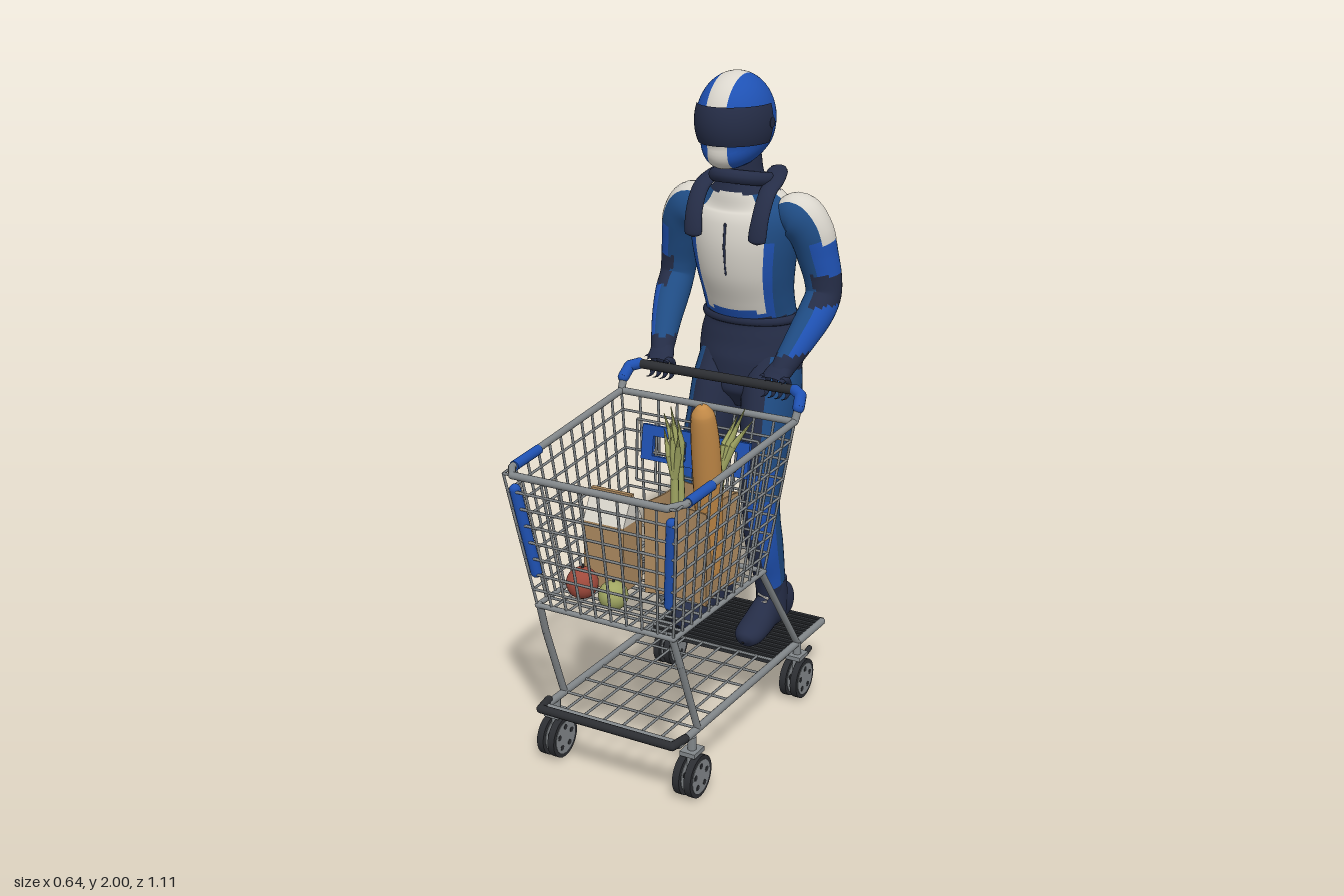
import * as THREE from 'three';
import { mergeGeometries } from 'three/addons/utils/BufferGeometryUtils.js';

const V = (x, y, z) => new THREE.Vector3(x, y, z);
const X = V(1, 0, 0), Y = V(0, 1, 0), Z = V(0, 0, 1);

export function createModel() {
  const root = new THREE.Group();
  const mat = (name, color) => Object.assign(new THREE.MeshStandardMaterial({ color }), { name });
  const bright = mat('bright blue', 0x1f52b4), steel = mat('steel blue', 0x1f4c84), navy = mat('navy', 0x252d47);
  const white = mat('off white', 0xdad6cd), metal = mat('metal grey', 0x82878a), rubber = mat('dark rubber', 0x2c2e32);
  const paper = mat('paper brown', 0xac895f), crust = mat('bread crust', 0xc48b48);
  const red = mat('apple red', 0xa04a3c), green = mat('leaf green', 0xa0a662);

  const add = (name, geo, m) => {
    const mesh = new THREE.Mesh(geo, m);
    mesh.name = name;
    root.add(mesh);
    return mesh;
  };
  const box = (w, h, d, x, y, z) => new THREE.BoxGeometry(w, h, d).translate(x, y, z);
  const ball = (r, x, y, z, n = 10) => new THREE.SphereGeometry(r, n * 2, n).translate(x, y, z);
  const disc = (r, w, x, y, z, n = 24) => new THREE.CylinderGeometry(r, r, w, n).rotateZ(Math.PI / 2).translate(x, y, z);
  const rod = (a, b, r, r2 = r, n = 8) => {
    const d = b.clone().sub(a);
    const q = new THREE.Quaternion().setFromUnitVectors(Y, d.clone().normalize());
    const m = a.clone().add(b).multiplyScalar(0.5);
    return new THREE.CylinderGeometry(r2, r, d.length(), n).applyQuaternion(q).translate(m.x, m.y, m.z);
  };
  // bent tube: straight rods with round joints
  const pipe = (pts, r) => mergeGeometries(pts.flatMap((p, i) =>
    [ball(r, p.x, p.y, p.z, 6), ...(i ? [rod(pts[i - 1], p, r, r, 12)] : [])]));

  // wrapped surface f(i, j); pick(centre, direction) chooses each face's material
  function skin(name, nu, nv, f, pick) {
    const pos = [], pts = [], buckets = new Map();
    for (let i = 0; i <= nu; i++) for (let j = 0; j < nv; j++) {
      const p = f(i / nu, j / nv * Math.PI * 2);
      pts.push(p);
      pos.push(...p.p.toArray());
    }
    for (let i = 0; i < nu; i++) for (let j = 0; j < nv; j++) {
      const a = i * nv + j, d = i * nv + (j + 1) % nv, b = a + nv, c = d + nv;
      const mid = pts[a].p.clone().add(pts[c].p).multiplyScalar(0.5);
      const m = pick(mid, pts[a].n.clone().add(pts[d].n).multiplyScalar(0.5));
      if (!buckets.has(m)) buckets.set(m, []);
      buckets.get(m).push(a, d, b, d, c, b);
    }
    const geo = new THREE.BufferGeometry(), index = [], mats = [...buckets.keys()];
    mats.forEach((m, k) => {
      geo.addGroup(index.length, buckets.get(m).length, k);
      for (const v of buckets.get(m)) index.push(v);
    });
    geo.setAttribute('position', new THREE.Float32BufferAttribute(pos, 3));
    geo.setIndex(index);
    geo.computeVertexNormals();
    return add(name, geo, mats);
  }
  // smooth loft through oval rings [x, y, z, r1, r2]
  function loft(name, rings, pick, { ref = X, s = 1, seg = 32, sub = 6, floor = 0 } = {}) {
    const path = new THREE.CatmullRomCurve3(rings.map(r => V(r[0] * s, r[1], r[2])));
    const rad = new THREE.CatmullRomCurve3(rings.map(r => V(r[3], r[4] ?? r[3], 0)), false, 'catmullrom', 0.5);
    return skin(name, (rings.length - 1) * sub, seg, (t, a) => {
      const dir = path.getTangent(t), c = path.getPoint(t), r = rad.getPoint(t);
      const u = ref.clone().addScaledVector(dir, -ref.dot(dir)).normalize(), v = dir.clone().cross(u);
      const n = u.clone().multiplyScalar(Math.cos(a)).addScaledVector(v, Math.sin(a));
      const p = c.addScaledVector(u, Math.cos(a) * r.x).addScaledVector(v, Math.sin(a) * r.y);
      p.y = Math.max(p.y, floor);
      return { p, n };
    }, pick);
  }

  // ---- rider: torso and hips ----
  loft('torso', [[0, .93, -.385, .04, .05], [0, .97, -.4, .11, .11], [0, 1.03, -.415, .155, .122], [0, 1.1, -.425, .172, .128],
    [0, 1.17, -.425, .168, .115], [0, 1.24, -.42, .15, .105], [0, 1.32, -.395, .15, .113], [0, 1.4, -.378, .16, .13],
    [0, 1.48, -.37, .172, .135], [0, 1.55, -.365, .175, .125], [0, 1.6, -.36, .155, .105], [0, 1.64, -.35, .105, .085],
    [0, 1.68, -.345, .07, .07], [0, 1.75, -.335, .062, .065]], (p, n) => {
    const ax = Math.abs(n.x);
    if (p.y < 1.25 || p.y > 1.64) return navy;
    if (n.z > 0) return ax < .68 && p.y > 1.27 ? white : ax < .82 && p.y < 1.5 ? bright : steel;
    return p.y > 1.5 ? white : ax > .42 && ax < .53 ? bright : steel;
  }, { seg: 60 });
  add('waistBelt', new THREE.TorusGeometry(1, .08, 8, 40).rotateX(Math.PI / 2).scale(.15, .18, .107).translate(0, 1.235, -.42), navy);
  add('zip', pipe([V(0, 1.26, -.304), V(0, 1.32, -.281), V(0, 1.4, -.247), V(0, 1.48, -.234), V(0, 1.55, -.24)], .004), navy);

  // ---- rider: helmet, visor, collar ----
  skin('helmet', 32, 64, (t, v) => {
    const th = (t - .5) * Math.PI, r = Math.cos(th), n = V(Math.sin(th), -r * Math.sin(v), r * Math.cos(v));
    const p = V(.114 * n.x, 1.858 + .142 * n.y, -.305 + .14 * n.z);
    p.z += Math.max(0, 1.79 - p.y) * (n.z > 0 ? .75 : .45);
    p.y = Math.max(p.y, 1.722);
    return { p, n };
  }, p => Math.abs(p.x) < .033 ? white : bright);
  add('visor', new THREE.SphereGeometry(1, 40, 10, Math.PI / 2 - 1.65, 3.3, 1.2, .82).scale(.118, .145, .146).translate(0, 1.858, -.305), navy);
  add('neckCollar', new THREE.TorusGeometry(.082, .022, 10, 32).rotateX(Math.PI / 2 - .2).translate(0, 1.675, -.35), navy);

  for (const s of [1, -1]) {
    const side = s > 0 ? 'left' : 'right';
    add(side + 'VisorPivot', disc(.016, .008, s * .115, 1.855, -.31, 16), navy);
    loft(side + 'ShoulderYoke', [[.108, 1.5, -.238, .004, .002], [.108, 1.51, -.238, .028, .013], [.112, 1.58, -.252, .028, .013],
      [.112, 1.645, -.295, .028, .013], [.105, 1.672, -.36, .03, .014], [.075, 1.69, -.43, .03, .014], [.05, 1.695, -.45, .004, .002]],
    () => navy, { s, seg: 16 });

    // ---- rider: arms and gloves ----
    loft(side + 'Arm', [[.12, 1.565, -.37, .045], [.175, 1.57, -.372, .073], [.215, 1.53, -.38, .07], [.236, 1.45, -.395, .063],
      [.25, 1.38, -.405, .058], [.255, 1.33, -.4, .055], [.25, 1.28, -.36, .055], [.235, 1.22, -.3, .048],
      [.213, 1.15, -.235, .038], [.205, 1.125, -.215, .034]], (p, n) => {
      if (p.y > 1.5) return n.x * s > -.2 && n.z < .75 ? white : steel;
      if (p.y < 1.18) return navy;
      if (p.y > 1.31 && p.y < 1.4 && n.x * s > -.1) return navy;
      return n.x * s > .3 && n.z > -.1 ? bright : steel;
    }, { s, ref: Z });
    loft(side + 'Hand', [[.22, 1.165, -.25, .034], [.208, 1.135, -.222, .037, .033], [.2, 1.118, -.195, .042, .024],
      [.198, 1.108, -.172, .036, .012]], () => navy, { s, seg: 20 });
    add(side + 'Fingers', mergeGeometries([0, 1, 2, 3].map(i =>
      new THREE.TorusGeometry(.025, .012, 8, 14, 4.2).rotateY(Math.PI / 2).rotateX(-2.2).translate(s * (.165 + i * .023), 1.088, -.185))), navy);

    // ---- rider: legs ----
    loft(side + 'Leg', [[.083, 1.1, -.425, .08, .105], [.088, 1.0, -.397, .088, .124], [.095, .9, -.355, .08, .112],
      [.105, .8, -.312, .07, .092], [.11, .7, -.285, .06, .07], [.112, .6, -.292, .057, .068], [.112, .5, -.316, .055, .074],
      [.112, .4, -.35, .048, .062], [.112, .28, -.375, .042, .052]], (p, n) => {
      const out = n.x * s;
      if (p.y < .36) return navy;
      if (p.y < .78 && p.y > .55 && n.z > .1 && out > -.2) return p.y > .72 || p.y < .68 ? bright : steel;
      if (p.y < .55 && out > .45 && n.z > .2) return bright;
      return out > .4 && n.z > -.75 ? steel : navy;
    }, { s });

    // ---- rider: boots ----
    loft(side + 'Boot', [[.112, .25, -.485, .006, .008], [.112, .255, -.47, .034, .056], [.112, .262, -.41, .044, .066],
      [.112, .262, -.34, .045, .066], [.115, .245, -.26, .05, .047], [.118, .236, -.2, .047, .037],
      [.118, .23, -.17, .03, .026], [.118, .225, -.16, .004, .004]], () => navy, { s, floor: .2 });
    add(side + 'BootCuff', new THREE.CylinderGeometry(.047, .05, .11, 24).scale(1, 1, 1.22).translate(s * .112, .31, -.373), navy);
    add(side + 'Laces', mergeGeometries([0, 1, 2].map(i => box(.04, .005, .008, 0, 0, 0).rotateZ(i % 2 ? .3 : -.3)
      .translate(s * .113, .293 + i * .016, -.283 - i * .013))), white);
  }

  // ---- cart: wire basket ----
  const corner = (s, front, top) => top ? (front ? V(s * .28, .965, .547) : V(s * .3, 1.012, -.125))
    : (front ? V(s * .228, .54, .474) : V(s * .235, .535, -.07));
  const panel = (name, a, b, c, d, n, m) => {
    const list = [];
    for (let i = 0; i <= n; i++) list.push(rod(a.clone().lerp(b, i / n), d.clone().lerp(c, i / n), .0042, .0042, 6));
    for (let i = 0; i <= m; i++) list.push(rod(a.clone().lerp(d, i / m), b.clone().lerp(c, i / m), .0042, .0042, 6));
    add(name, mergeGeometries(list), metal);
  };
  const [LF, RF, LB, RB] = [corner(1, 1, 0), corner(-1, 1, 0), corner(1, 0, 0), corner(-1, 0, 0)];
  const [LFt, RFt, LBt, RBt] = [corner(1, 1, 1), corner(-1, 1, 1), corner(1, 0, 1), corner(-1, 0, 1)];
  panel('basketFront', RF, LF, LFt, RFt, 9, 8);
  panel('basketBack', RB, LB, LBt, RBt, 9, 8);
  panel('basketLeft', LB, LF, LFt, LBt, 11, 8);
  panel('basketRight', RB, RF, RFt, RBt, 11, 8);
  panel('basketFloor', RB, LB, LF, RF, 9, 9);
  add('basketRim', pipe([RBt, V(-.283, .968, .5), V(-.25, .965, .547), V(.25, .965, .547), V(.283, .968, .5), LBt, RBt], .011), metal);
  add('basketBase', pipe([RB, RF, LF, LB, RB], .008), metal);

  // ---- cart: child seat flap ----
  const rect = (S, x0, y0, x1, y1) => new S([[x0, y0], [x1, y0], [x1, y1], [x0, y1]].map(p => new THREE.Vector2(...p)));
  const flap = rect(THREE.Shape, -.185, -.055, .185, .055);
  flap.holes.push(rect(THREE.Path, -.145, -.04, -.03, .022), rect(THREE.Path, .03, -.04, .145, .022));
  add('seatFlap', new THREE.ExtrudeGeometry(flap, { depth: .014, bevelEnabled: false }).rotateX(-.15).translate(0, .885, -.067), bright);
  panel('seatGrid', V(-.2, .76, -.045), V(.2, .76, -.045), V(.21, .95, -.07), V(-.21, .95, -.07), 6, 2);

  // ---- cart: handle ----
  add('handleBar', rod(V(-.27, 1.088, -.185), V(.27, 1.088, -.185), .015, .015, 14), rubber);
  // ---- cart: lower frame ----
  add('lowerFrame', pipe([V(-.235, .183, -.5), V(-.23, .195, .45), V(.23, .195, .45), V(.235, .183, -.5)], .012), metal);
  panel('lowerRack', V(-.23, .185, -.17), V(.23, .185, -.17), V(.23, .195, .44), V(-.23, .195, .44), 7, 6);
  add('footPlate', box(.47, .018, .35, 0, .178, -.345), rubber);
  add('footPlateRibs', mergeGeometries([...Array(14)].map((_, i) => box(.46, .007, .012, 0, .189, -.185 - i * .0245))), rubber);
  add('frontBumper', pipe([V(-.235, .202, .42), V(-.225, .202, .478), V(.225, .202, .478), V(.235, .202, .42)], .013), rubber);

  for (const s of [1, -1]) {
    const side = s > 0 ? 'left' : 'right';
    add(side + 'HandlePost', pipe([V(s * .3, 1.012, -.125), V(s * .303, 1.055, -.145)], .012), metal);
    add(side + 'HandleCorner', pipe([V(s * .303, 1.05, -.143), V(s * .296, 1.08, -.17), V(s * .27, 1.088, -.185)], .018), bright);
    add(side + 'RimSleeve', rod(V(s * .286, .975, .36), V(s * .282, .968, .49), .015, .015, 12), bright);
    add(side + 'CornerGuard', pipe([V(s * .222, .65, .483), V(s * .255, .915, .528)], .017), bright);
    add(side + 'FrontLeg', pipe([V(s * .222, .54, .47), V(s * .228, .44, .435), V(s * .232, .195, .34)], .011), metal);
    add(side + 'BackLeg', pipe([V(s * .23, .535, -.06), V(s * .23, .5, -.085), V(s * .235, .185, -.315)], .011), metal);
    add(side + 'Reflector', box(.05, .01, .006, s * .15, .178, -.522), red);

    // ---- cart: twin-wheel casters ----
    for (const [end, z] of [['Front', .38], ['Back', -.315]]) {
      const x = s * .235, tyres = [], hubs = [], holes = [];
      for (const k of [-1, 1]) {
        tyres.push(disc(.065, .022, x + k * .019, .065, z));
        hubs.push(disc(.052, .025, x + k * .019, .065, z));
        for (let i = 0; i < 5; i++) {
          const a = i * Math.PI * .4;
          holes.push(disc(.009, .027, x + k * .019, .065 + .034 * Math.cos(a), z + .034 * Math.sin(a), 10));
        }
      }
      add(side + end + 'Tyres', mergeGeometries(tyres), rubber);
      add(side + end + 'Hubs', mergeGeometries(hubs), metal);
      add(side + end + 'HubHoles', mergeGeometries(holes), rubber);
      add(side + end + 'Fork', mergeGeometries([box(.012, .08, .035, x, .1, z), box(.05, .014, .06, x, .142, z),
        rod(V(x, .14, z), V(x, .19, z), .014)]), metal);
      if (end === 'Back') add(side + 'BrakePedal', pipe([V(x, .135, z - .02), V(x, .12, z - .07), V(x, .125, z - .095)], .009), rubber);
    }
  }

  // ---- groceries: paper bag with pinched sides ----
  const outline = (C, k) => {
    const c = new C(), w = .103 * k, d = .103 * k, q = .07 * k;
    c.moveTo(-w, -d).quadraticCurveTo(0, -q, w, -d).quadraticCurveTo(q, 0, w, d)
      .quadraticCurveTo(0, q, -w, d).quadraticCurveTo(-q, 0, -w, -d);
    return c;
  };
  const bagPart = (shape, depth) => new THREE.ExtrudeGeometry(shape, { depth, bevelEnabled: false }).rotateX(-Math.PI / 2).translate(.112, .548, .158);
  const shell = outline(THREE.Shape, 1);
  shell.holes.push(outline(THREE.Path, .94));
  add('paperBag', bagPart(shell, .287), paper);
  add('bagFilling', bagPart(outline(THREE.Shape, .96), .2), paper);

  // ---- groceries: gabled carton ----
  add('cartonBody', box(.138, .205, .105, -.11, .65, .243), paper);
  const gable = new THREE.Shape([[.19, .752], [.296, .752], [.249, .838], [.237, .838]].map(p => new THREE.Vector2(...p)));
  add('cartonTop', new THREE.ExtrudeGeometry(gable, { depth: .138, bevelEnabled: false }).rotateY(-Math.PI / 2).translate(-.041, 0, 0), white);
  add('cartonSeam', box(.139, .008, .014, -.11, .838, .243), paper);

  // ---- groceries: baguette ----
  loft('baguette', [[.182, .6, .165, .004], [.183, .615, .168, .03], [.188, .75, .19, .038], [.197, .9, .22, .042],
    [.204, 1.05, .25, .041], [.208, 1.14, .272, .033], [.209, 1.165, .278, .016], [.209, 1.172, .28, .002]], () => crust, { seg: 24 });

  // ---- groceries: leafy stalks ----
  [[.06, .13, -.03, 0], [.16, .1, .05, -.05], [.09, .22, 0, .02]].forEach(([x, z, dx, dz], i) => {
    const parts = [rod(V(x, .72, z), V(x + dx * .2, .91, z + dz * .2), .014, .012)];
    for (let k = -1; k <= 1; k++) {
      const m = V(x + dx * .5 + k * .014, .98, z + dz * .5);
      parts.push(rod(V(x + dx * .2, .9, z + dz * .2), m, .009, .011, 6),
        rod(m, V(x + dx * 1.2 + k * .03, 1.09 - Math.abs(k) * .03, z + dz * 1.2 + k * .012), .011, .001, 6));
    }
    add('leafyStalk' + (i + 1), mergeGeometries(parts), green);
  });

  // ---- groceries: apples ----
  for (const [name, m, x, z, r] of [['redApple', red, -.135, .375, .048], ['greenApple', green, -.015, .398, .044]]) {
    add(name, ball(r, x, .545 + r, z, 14).scale(1, 1, 1), m);
    add(name + 'Stem', rod(V(x, .54 + r * 2, z), V(x + .005, .556 + r * 2, z), .004), rubber);
  }
  return root;
}
